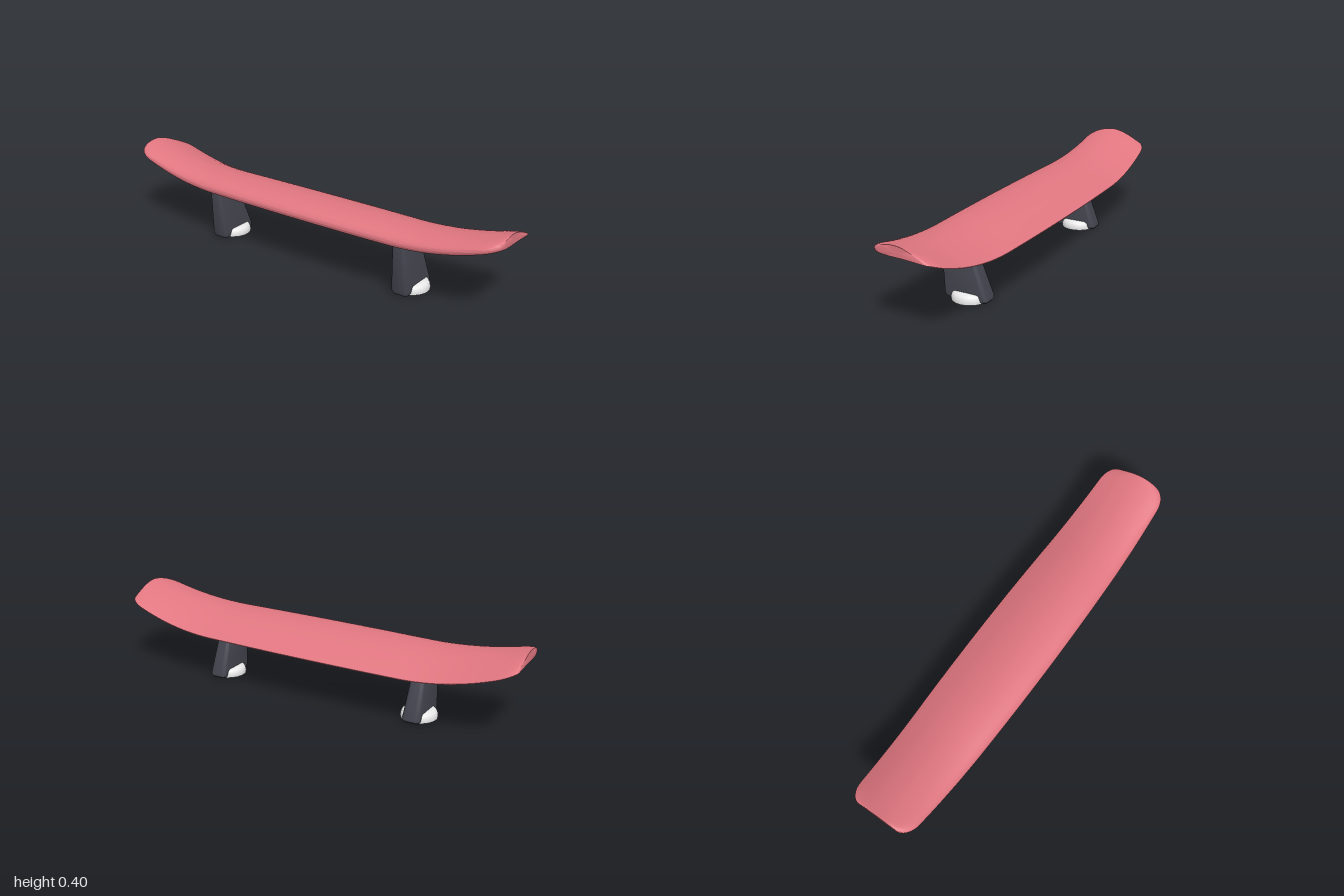
import * as THREE from 'three';
import { toCreasedNormals } from 'three/addons/utils/BufferGeometryUtils.js';

// Skin a series of closed rings (clockwise seen along the travel direction) and cap both ends
function loft(rings, crease) {
  const n = rings[0].length, pos = [], idx = [];
  rings.forEach(r => r.forEach(p => pos.push(p.x, p.y, p.z)));
  for (let i = 0; i < rings.length - 1; i++) {
    for (let j = 0; j < n; j++) {
      const a = i * n + j, b = i * n + (j + 1) % n, c = a + n, d = b + n;
      idx.push(a, c, b, b, c, d);
    }
  }
  [0, rings.length - 1].forEach((i, end) => {
    const centre = new THREE.Vector3();
    rings[i].forEach(p => centre.addScaledVector(p, 1 / n));
    const k = pos.length / 3;
    pos.push(centre.x, centre.y, centre.z);
    for (let j = 0; j < n; j++) {
      const a = i * n + j, b = i * n + (j + 1) % n;
      if (end) idx.push(k, b, a); else idx.push(k, a, b);
    }
  });
  const geo = new THREE.BufferGeometry();
  geo.setAttribute('position', new THREE.Float32BufferAttribute(pos, 3));
  geo.setIndex(idx);
  return toCreasedNormals(geo, crease);
}

// Wing: one airfoil section swept along x, narrowing and curling up at both tips
function wingGeometry() {
  // (depth from -1 back to 1 front, height), running back - under - front - over
  const profile = new THREE.SplineCurve([
    [-1, 0.241], [-0.8, 0.263], [-0.4, 0.3], [0, 0.323], [0.3, 0.33], [0.6, 0.327], [0.85, 0.314],
    [0.97, 0.297], [1, 0.282], [0.97, 0.267], [0.85, 0.256], [0.5, 0.251], [0, 0.249], [-0.5, 0.244], [-1, 0.238],
  ].map(p => new THREE.Vector2(...p))).getPoints(56).reverse();
  profile.reverse();
  // rotate the order so the loop runs front, top, back, underneath
  const loop = profile.slice().reverse();

  const half = [];
  for (let i = 0; i <= 20; i++) half.push(0.92 * i / 20);
  for (let i = 1; i <= 8; i++) half.push(0.92 + 0.08 * Math.sin(i / 8 * Math.PI / 2));
  const stations = [...half.slice(1).reverse().map(x => -x), ...half];

  const rings = stations.map(x => {
    const ax = Math.abs(x);
    const t = Math.max(0, (ax - 0.5) / 0.5), lift = t * t;
    const s = Math.min(1, Math.max(0, (ax - 0.92) / 0.08));
    const w = 0.19 - 0.032 * x * x - 0.055 * (1 - Math.sqrt(1 - s * s));
    return profile.map(p => new THREE.Vector3(
      x, 0.24 + (p.y - 0.24) * (1 - 0.4 * lift) + 0.105 * lift, p.x * w));
  });
  // the profile runs back to front over the top, so flip each ring for outward faces
  rings.forEach(r => r.reverse());
  return loft(rings, 0.8);
}

// Rounded rectangle ring for the supports
function supportRing(y, hx, back, front, r) {
  const ring = [], hz = (front - back) / 2, mid = (front + back) / 2;
  [[1, 1], [-1, 1], [-1, -1], [1, -1]].forEach(([sx, sz], q) => {
    for (let i = 0; i <= 5; i++) {
      const a = (q + i / 5) * Math.PI / 2;
      ring.push(new THREE.Vector3(sx * (hx - r) + r * Math.cos(a), y, mid + sz * (hz - r) + r * Math.sin(a)));
    }
  });
  return ring;
}

export function createModel() {
  const red = new THREE.MeshStandardMaterial({ color: 0xe07680 });
  red.name = 'wing red';
  const dark = new THREE.MeshStandardMaterial({ color: 0x44454f });
  dark.name = 'support charcoal';
  const white = new THREE.MeshStandardMaterial({ color: 0xe8e8e8 });
  white.name = 'foot white';

  const model = new THREE.Group();
  model.name = 'rearWing';
  const add = (parent, name, geo, mat) => {
    const mesh = new THREE.Mesh(geo, mat);
    mesh.name = name;
    parent.add(mesh);
  };

  add(model, 'wing', wingGeometry(), red);

  // Tapered, backward-sloping support with softened lower edge
  const support = loft([
    supportRing(0, 0.025, -0.08, 0.09, 0.012),
    supportRing(0.004, 0.037, -0.094, 0.104, 0.016),
    supportRing(0.011, 0.042, -0.1, 0.109, 0.02),
    supportRing(0.022, 0.043, -0.1, 0.112, 0.02),
    supportRing(0.235, 0.033, -0.02, 0.129, 0.018),
    supportRing(0.262, 0.031, -0.008, 0.126, 0.018),
  ], 0.6);

  // Low domed disc under each support
  const foot = toCreasedNormals(new THREE.LatheGeometry(
    [[0, 0.002], [0.084, 0.002], [0.085, 0.01], [0.082, 0.024], [0.077, 0.034], [0.069, 0.04], [0, 0.041]]
      .map(p => new THREE.Vector2(...p)), 40), 0.7);

  [[1, 'left'], [-1, 'right']].forEach(([side, label]) => {
    const mount = new THREE.Group();
    mount.name = label + 'Mount';
    mount.position.x = side * 0.52;
    add(mount, label + 'Support', support, dark);
    add(mount, label + 'Foot', foot, white);
    model.add(mount);
  });
  return model;
}
